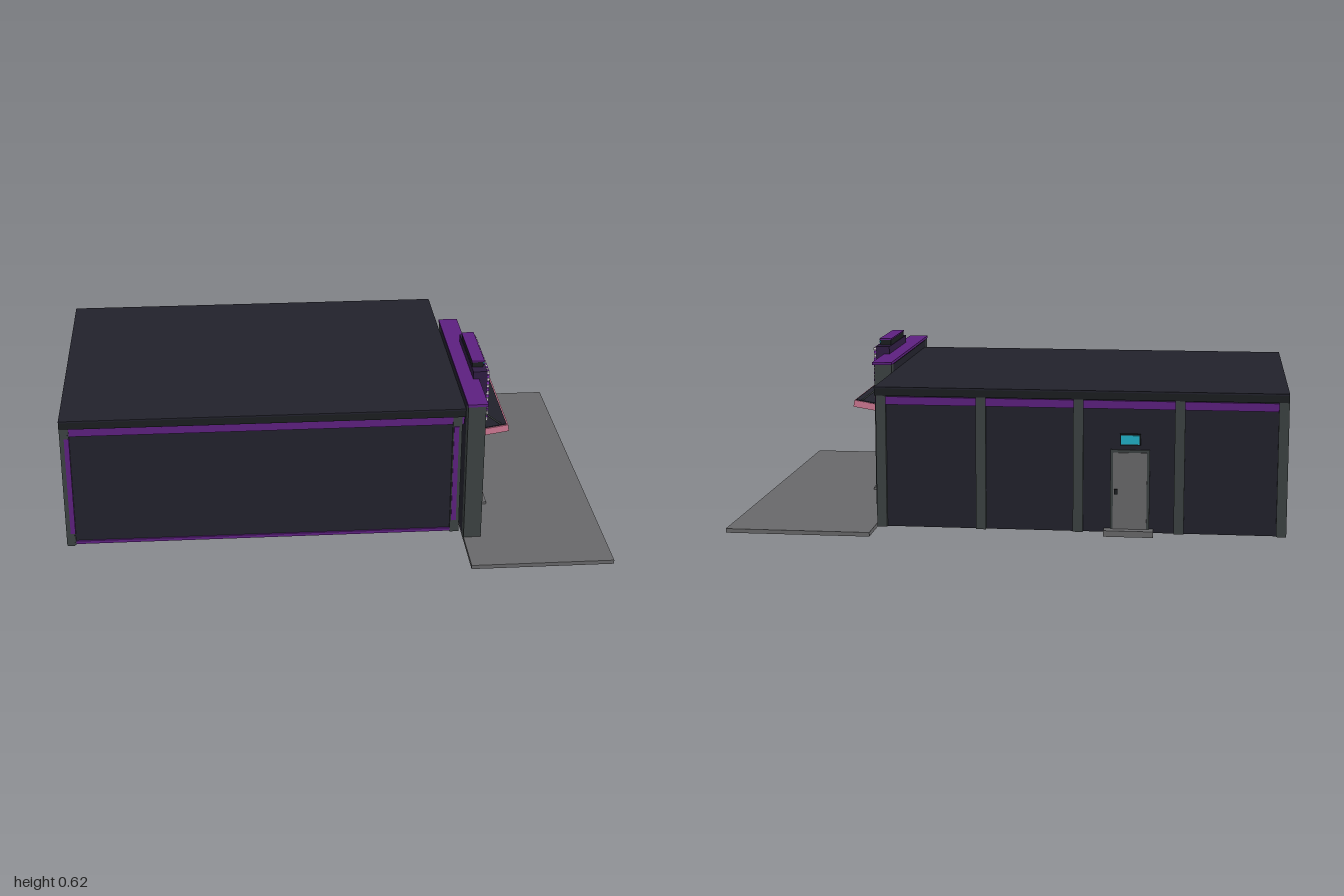
import * as THREE from 'three';

const mat = (name, color) => {
  const m = new THREE.MeshStandardMaterial({ color });
  m.name = name;
  return m;
};

export function createModel() {
  const dark = mat('dark wall', 0x22222c);
  const edge = mat('near black', 0x1b1e20);
  const grey = mat('charcoal grey', 0x3c4242);
  const stone = mat('pavement grey', 0x69696b);
  const plum = mat('dark purple', 0x5d2080);
  const purple = mat('bright purple', 0x842db6);
  const night = mat('deep violet', 0x2f1d42);
  const pink = mat('pink', 0xd07a94);
  const cyan = mat('cyan', 0x20b2c8);
  const white = mat('pale', 0xd2ccd2);

  const root = new THREE.Group();
  let part = root;
  const group = (name) => {
    part = new THREE.Group();
    part.name = name;
    root.add(part);
    return part;
  };
  // Box from its limits along each axis
  const box = (name, m, x0, x1, y0, y1, z0, z1) => {
    const b = new THREE.Mesh(new THREE.BoxGeometry(x1 - x0, y1 - y0, z1 - z0), m);
    b.position.set((x0 + x1) / 2, (y0 + y1) / 2, (z0 + z1) / 2);
    b.name = name;
    part.add(b);
    return b;
  };
  // Thin plate facing +x
  const plate = (name, m, x, y0, y1, z0, z1, d = 0.006) => box(name, m, x, x + d, y0, y1, z0, z1);

  // Main hall
  group('hall');
  box('hallWalls', dark, -0.985, 0.465, 0.008, 0.5, -0.595, 0.455);
  box('roofEdge', edge, -1, 0.475, 0.49, 0.516, -0.61, 0.47);
  box('roofTop', dark, -1, 0.475, 0.516, 0.522, -0.61, 0.47);
  box('purpleBand', plum, -0.992, 0.472, 0.457, 0.486, -0.602, 0.462);
  box('baseTrim', plum, -0.985, 0.465, 0.012, 0.024, 0.45, 0.462);
  for (const x of [-0.983, 0.447]) {
    box('frontPillar', grey, x - 0.017, x + 0.017, 0.01, 0.49, 0.44, 0.465);
    const s = x < 0 ? 0.008 : -0.004;
    box('pillarStripe', plum, x + s - 0.009, x + s + 0.009, 0.06, 0.45, 0.463, 0.469);
  }
  for (const x of [0.452, 0.09, -0.26, -0.62, -0.982])
    box('backPillar', grey, x - 0.018, x + 0.018, 0.008, 0.49, -0.608, -0.58);
  for (const z of [-0.59, -0.425, -0.065, 0.265, 0.45])
    box('sidePillar', grey, -0.998, -0.97, 0.008, 0.49, z - 0.017, z + 0.017);
  box('streetPillar', grey, 0.45, 0.474, 0.008, 0.49, -0.382, -0.344);

  // Rear service door
  group('rearDoor');
  box('doorFrame', grey, -0.515, -0.375, 0.01, 0.31, -0.602, -0.59);
  box('doorLeaf', stone, -0.505, -0.385, 0.02, 0.3, -0.606, -0.6);
  box('doorHandle', edge, -0.402, -0.39, 0.15, 0.168, -0.615, -0.604);
  box('doorStep', stone, -0.53, -0.353, 0, 0.022, -0.637, -0.595);
  box('exitSignCase', edge, -0.482, -0.408, 0.328, 0.368, -0.61, -0.594);
  box('exitSignFace', cyan, -0.478, -0.412, 0.332, 0.364, -0.614, -0.609);

  // Pavement and entrance step
  group('pavement');
  box('slab', stone, 0.475, 1, 0, 0.015, -0.73, 0.727);
  box('entranceStep', stone, 0.476, 0.6, 0.014, 0.024, -0.03, 0.27);

  // Facade walls around the entrance opening
  group('facade');
  box('wallLeft', dark, 0.475, 0.525, 0.01, 0.55, 0.235, 0.48);
  box('wallRight', dark, 0.475, 0.525, 0.01, 0.55, -0.24, -0.005);
  box('wallOver', dark, 0.475, 0.525, 0.31, 0.55, -0.005, 0.235);
  box('base', edge, 0.5, 0.53, 0.01, 0.04, 0.262, 0.478);
  box('base', edge, 0.5, 0.53, 0.01, 0.04, -0.235, -0.03);
  for (const z of [0.497, -0.255]) box('facadePillar', grey, 0.475, 0.54, 0, 0.555, z - 0.023, z + 0.023);
  box('facadeCap', plum, 0.473, 0.547, 0.553, 0.563, -0.285, 0.522);
  plate('facadeBand', plum, 0.525, 0.503, 0.519, -0.232, 0.474);

  // Accent stripes beside the canopy
  const stripes = [[0.402, purple, 0.05], [0.379, cyan, 0.072], [0.358, pink, 0.098]];
  for (const [y, m, len] of stripes) {
    plate('accentStripe', m, 0.525, y - 0.003, y + 0.003, 0.342, 0.342 + len);
    plate('accentStripe', m, 0.525, y - 0.003, y + 0.003, -0.096 - len, -0.096);
  }

  // Shop windows with poster panels
  const shopWindow = (zc, posters) => {
    group('shopWindow');
    plate('windowFrame', plum, 0.525, 0.106, 0.316, zc - 0.09, zc + 0.09, 0.009);
    plate('windowPane', edge, 0.534, 0.113, 0.308, zc - 0.081, zc + 0.081, 0.003);
    box('sill', stone, 0.525, 0.55, 0.096, 0.106, zc - 0.096, zc + 0.096);
    plate('mullion', night, 0.536, 0.11, 0.31, zc - 0.005, zc + 0.005);
    posters.forEach((m, i) => {
      const z = zc + (i ? -0.041 : 0.041);
      plate('panel', dark, 0.536, 0.118, 0.302, z - 0.033, z + 0.033, 0.002);
      plate('panelHeader', purple, 0.538, 0.276, 0.291, z - 0.031, z + 0.031, 0.004);
      plate('poster', m, 0.538, 0.21, 0.263, z - 0.027, z + 0.027, 0.004);
      plate('panelPlaque', edge, 0.538, 0.123, 0.2, z - 0.028, z + 0.028, 0.003);
      plate('panelButton', stone, 0.541, 0.134, 0.153, z - 0.01, z + 0.01, 0.004);
    });
  };
  shopWindow(0.352, [cyan, pink]);
  shopWindow(-0.122, [pink, purple]);

  // Entrance surround
  group('entrance');
  for (const s of [1, -1]) {
    const z = (d, w, name, m, x0, x1, y0, y1) =>
      box(name, m, x0, x1, y0, y1, 0.115 + s * d - w, 0.115 + s * d + w);
    z(0.121, 0.009, 'doorPost', plum, 0.48, 0.54, 0.022, 0.325);
    z(0.134, 0.004, 'postEdge', night, 0.52, 0.535, 0.022, 0.335);
    z(0.137, 0.004, 'pinkTube', pink, 0.525, 0.542, 0.045, 0.336);
    z(0.148, 0.0035, 'cyanTube', cyan, 0.525, 0.54, 0.045, 0.336);
    z(0.166, 0.017, 'cyanTubeFoot', cyan, 0.525, 0.54, 0.045, 0.053);
  }
  box('lintel', plum, 0.48, 0.54, 0.295, 0.328, -0.012, 0.242);
  plate('lintelPanel', purple, 0.54, 0.302, 0.318, 0.01, 0.23);
  plate('recessWall', edge, 0.465, 0.02, 0.31, -0.004, 0.234, 0.012);

  // Flat outline in (z, y), standing on the plane at x
  const outline = (name, m, x, pts, depth = 0.006) => {
    const shape = new THREE.Shape(pts.map(([z, y]) => new THREE.Vector2(-z, y)));
    const g = new THREE.ExtrudeGeometry(shape, { depth, bevelEnabled: false });
    g.rotateY(Math.PI / 2);
    const o = new THREE.Mesh(g, m);
    o.position.x = x;
    o.name = name;
    part.add(o);
  };
  outline('doorLeafLeft', grey, 0.478, [[0.152, 0.024], [0.058, 0.024], [0.058, 0.24], [0.122, 0.247], [0.15, 0.16]]);
  outline('doorLeafRight', grey, 0.478, [[0.054, 0.024], [0.018, 0.024], [0.018, 0.246], [0.054, 0.24]]);
  outline('doorStripe', cyan, 0.484, [[0.156, 0.026], [0.13, 0.026], [0.056, 0.19], [0.056, 0.228]], 0.004);
  outline('doorStripe', cyan, 0.484, [[0.056, 0.228], [0.056, 0.19], [0.02, 0.135], [0.02, 0.162]], 0.004);
  outline('wallFlash', purple, 0.484, [[0.15, 0.24], [0.132, 0.247], [0.13, 0.2], [0.146, 0.14], [0.15, 0.16]], 0.004);
  box('ticketStand', grey, 0.478, 0.505, 0.022, 0.16, 0.165, 0.225);
  plate('standScreen', night, 0.505, 0.045, 0.115, 0.188, 0.224);
  plate('standStripe', purple, 0.511, 0.068, 0.075, 0.19, 0.222, 0.003);
  plate('floorGlow', cyan, 0.505, 0.026, 0.034, 0.165, 0.2);

  // Canopy sloping up towards the street
  const canopy = group('canopy');
  box('canopyBody', pink, 0, 0.125, -0.014, 0.012, -0.092, 0.331);
  box('canopyTop', dark, 0, 0.12, 0.012, 0.015, -0.086, 0.325);
  canopy.position.set(0.538, 0.352, 0);
  canopy.rotation.z = 0.16;

  // Rods holding the canopy
  group('canopyRods');
  for (const z of [0.315, -0.072]) {
    const a = new THREE.Vector3(0.53, 0.458, z), b = new THREE.Vector3(0.635, 0.38, z);
    const rod = new THREE.Mesh(new THREE.TubeGeometry(new THREE.LineCurve3(a, b), 1, 0.0035, 6), grey);
    rod.name = 'rod';
    part.add(rod);
    box('rodMount', grey, 0.525, 0.536, 0.45, 0.468, z - 0.007, z + 0.007);
  }

  // Marquee sign with pixel picture
  group('marquee');
  box('signCase', night, 0.525, 0.578, 0.383, 0.592, -0.058, 0.3);
  box('signCrown', edge, 0.527, 0.568, 0.592, 0.613, -0.012, 0.256);
  box('signCrownCap', plum, 0.525, 0.572, 0.613, 0.618, -0.016, 0.26);
  plate('crownLight', cyan, 0.568, 0.598, 0.608, 0, 0.244);
  plate('signFace', purple, 0.578, 0.402, 0.574, -0.041, 0.281, 0.003);
  const art = (name, m, y0, y1, z0, z1) => plate(name, m, 0.581, y0, y1, z0, z1, 0.003);
  art('treeCrown', cyan, 0.488, 0.547, 0.186, 0.228);
  art('treeSides', cyan, 0.503, 0.536, 0.228, 0.241);
  art('treeSides', cyan, 0.503, 0.536, 0.173, 0.186);
  art('treeTrunk', white, 0.457, 0.488, 0.198, 0.213);
  art('ground', night, 0.43, 0.457, -0.022, 0.264);
  art('starTall', white, 0.507, 0.547, 0.056, 0.07);
  art('starSide', white, 0.52, 0.534, 0.07, 0.084);
  art('starSide', white, 0.52, 0.534, 0.042, 0.056);
  art('starSmall', white, 0.52, 0.535, -0.021, -0.006);
  for (const z of [0.108, 0.031]) {
    art('bush', pink, 0.457, 0.471, z - 0.027, z + 0.027);
    art('bushTop', pink, 0.471, 0.485, z - 0.014, z + 0.014);
  }
  // Bulbs around the sign
  const bulb = (y, z, i) => plate('bulb', i % 2 ? purple : white, 0.578, y - 0.005, y + 0.005, z - 0.005, z + 0.005, 0.009);
  for (let i = 0; i <= 24; i++) {
    const z = 0.291 - i * 0.01425;
    bulb(0.583, z, i);
    bulb(0.393, z, i);
  }
  for (let i = 1; i < 14; i++) {
    bulb(0.393 + i * 0.01357, 0.291, i);
    bulb(0.393 + i * 0.01357, -0.051, i);
  }
  return root;
}
